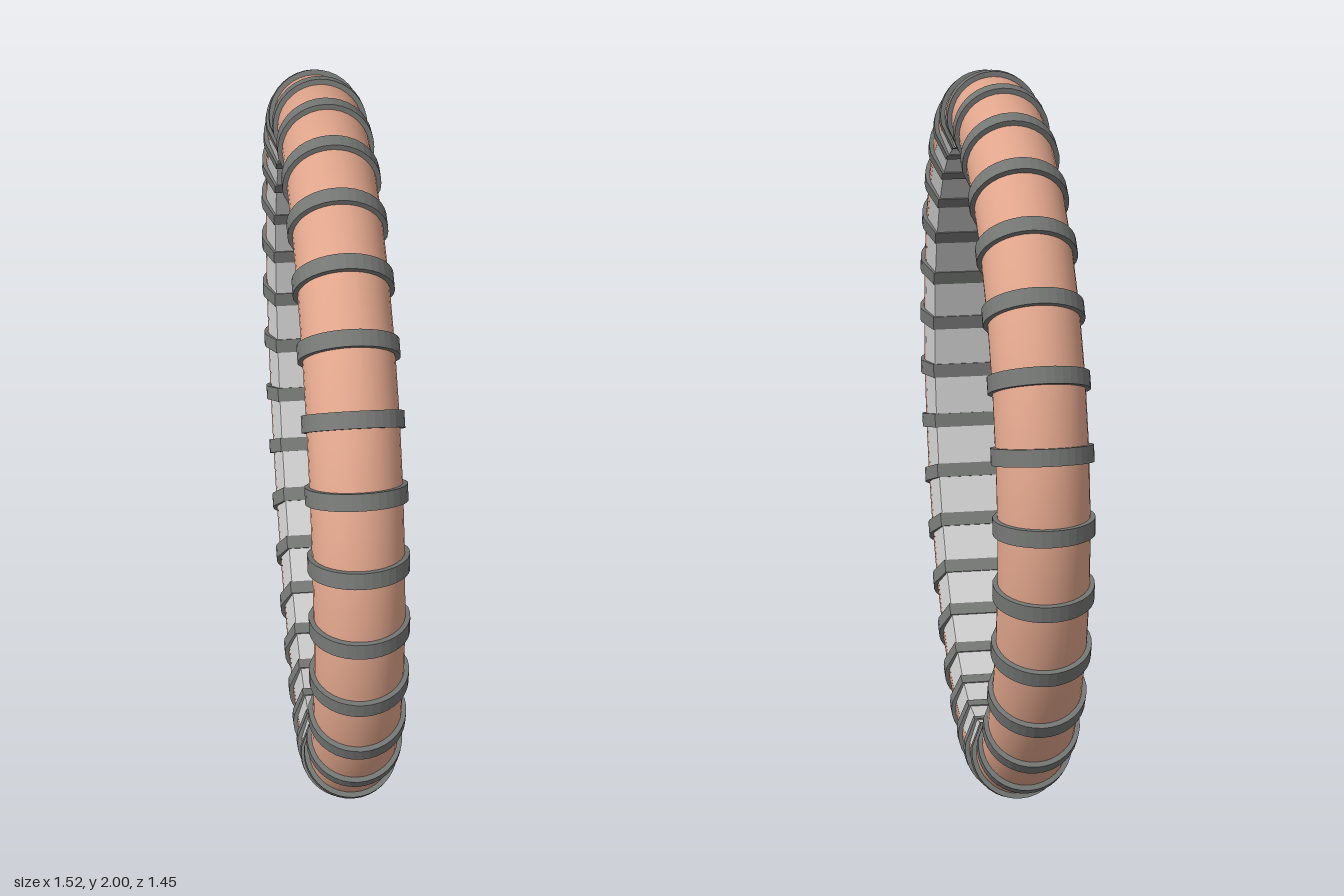
import * as THREE from 'three';

const COUNT = 32;                 // segments, with one band at every joint
const STEP = (Math.PI * 2) / COUNT;
const CENTRE = 0.877;             // radius of the tube's centre line

// Rounded outer side of the cross-section: x is radial, y is along the ring's axis.
function outerArc(radius, startRadius) {
  const a = Math.acos((startRadius - CENTRE) / radius);
  const points = [];
  for (let i = 0; i <= 20; i++) {
    const t = -a + (2 * a * i) / 20;
    points.push(new THREE.Vector2(CENTRE + radius * Math.cos(t), radius * Math.sin(t)));
  }
  return points;
}

// Flat inner side with a chamfer on each edge.
function innerFacets(edge, edgeHalf, flat, flatHalf) {
  return [[edge, edgeHalf], [flat, flatHalf], [flat, -flatHalf], [edge, -edgeHalf]]
    .map(([x, y]) => new THREE.Vector2(x, y));
}

function lathe(points) {
  return new THREE.LatheGeometry(points, COUNT, STEP / 2).rotateX(Math.PI / 2);
}

export function createModel() {
  const model = new THREE.Group();
  const ring = new THREE.Group();
  ring.name = 'ring';
  ring.position.y = 1;
  ring.rotation.y = THREE.MathUtils.degToRad(43.3);
  model.add(ring);

  // Coloured outer shell
  const shell = new THREE.Mesh(
    lathe(outerArc(0.113, 0.857)),
    new THREE.MeshStandardMaterial({ color: 0xe0a58c })
  );
  shell.name = 'outerShell';
  ring.add(shell);

  // Grey faceted lining
  const lining = new THREE.Mesh(
    lathe(innerFacets(0.857, 0.111, 0.795, 0.089)),
    new THREE.MeshStandardMaterial({ color: 0xcccccc, flatShading: true })
  );
  lining.name = 'innerLining';
  ring.add(lining);

  // Dark bands wrapped around the tube
  const profile = new THREE.Shape([
    ...outerArc(0.125, 0.856),
    ...innerFacets(0.856, 0.1232, 0.79, 0.094).slice(1, 3),
  ]);
  const width = 0.042;
  const bandGeometry = new THREE.ExtrudeGeometry(profile, { depth: width, bevelEnabled: false })
    .translate(0, 0, -width / 2)
    .rotateX(Math.PI / 2);
  const bandMaterial = new THREE.MeshStandardMaterial({ color: 0x747674 });
  const bands = new THREE.Group();
  bands.name = 'bands';
  for (let i = 0; i < COUNT; i++) {
    const band = new THREE.Mesh(bandGeometry, bandMaterial);
    band.name = 'band';
    band.rotation.z = (i + 0.5) * STEP;
    bands.add(band);
  }
  ring.add(bands);

  return model;
}
